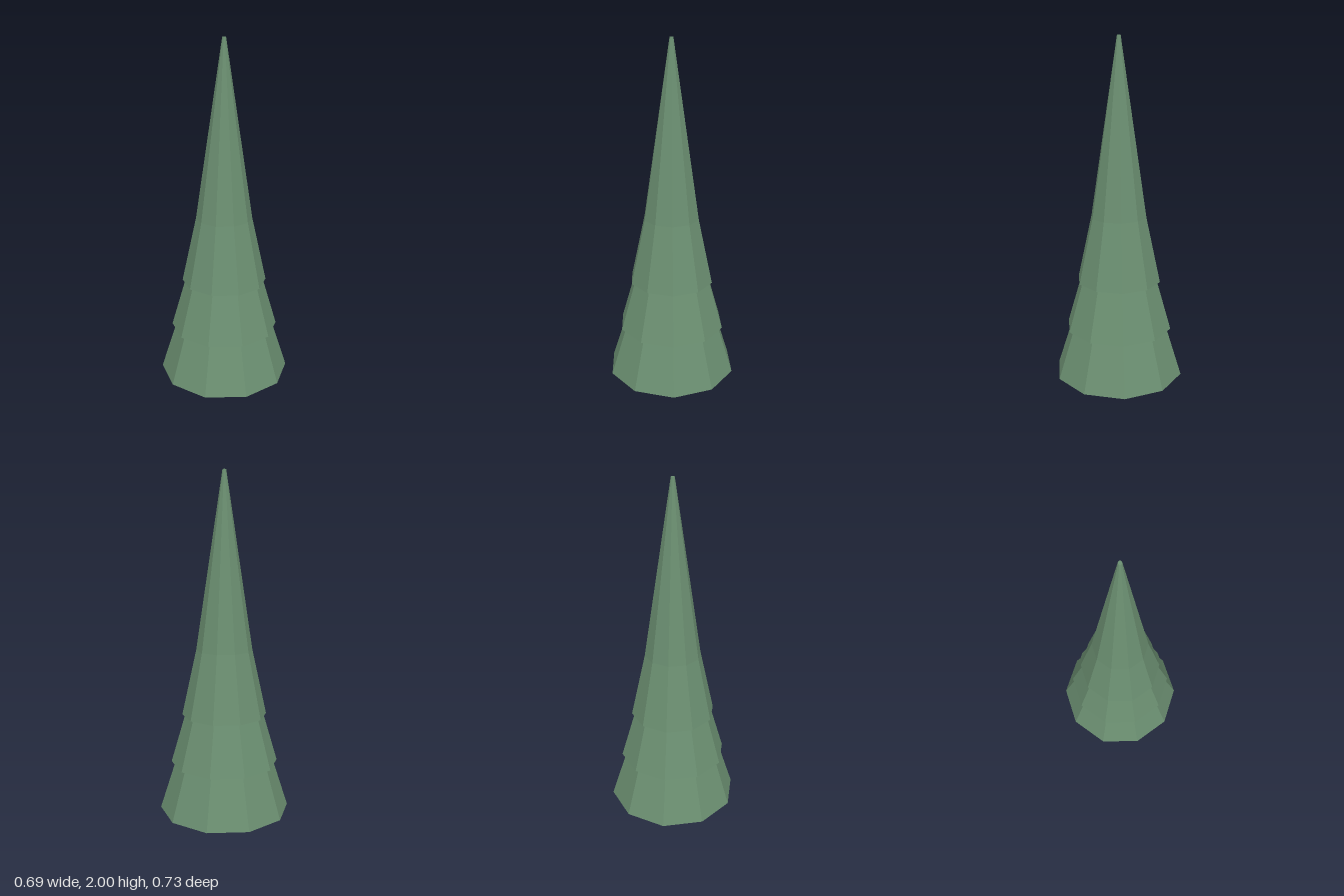
import * as THREE from 'three';

const SIDES = 10;

export function createModel() {
  const tree = new THREE.Group();
  tree.name = 'pineTree';

  const needles = new THREE.MeshStandardMaterial({ color: 0x6b8f71, flatShading: true });
  needles.name = 'needle green';
  const bark = new THREE.MeshStandardMaterial({ color: 0x6f4e37, flatShading: true });
  bark.name = 'bark brown';

  // Ten-sided tapered section standing between two heights
  function section(name, material, y0, r0, y1, r1, openEnded = false) {
    const geometry = new THREE.CylinderGeometry(r1, r0, y1 - y0, SIDES, 1, openEnded);
    const mesh = new THREE.Mesh(geometry, material);
    mesh.name = name;
    mesh.position.y = (y0 + y1) / 2;
    tree.add(mesh);
  }

  // Trunk, running up inside the lowest tier
  section('trunk', bark, 0, 0.056, 0.2, 0.052);

  // Overlapping foliage tiers
  section('lowerTier', needles, 0.125, 0.364, 0.46, 0.257);
  section('middleTier', needles, 0.4, 0.299, 0.74, 0.2);
  section('upperTier', needles, 0.675, 0.235, 1.04, 0.155);

  // Slender spire with a tiny flat tip
  section('spire', needles, 1.04, 0.155, 2, 0.01);

  return tree;
}
